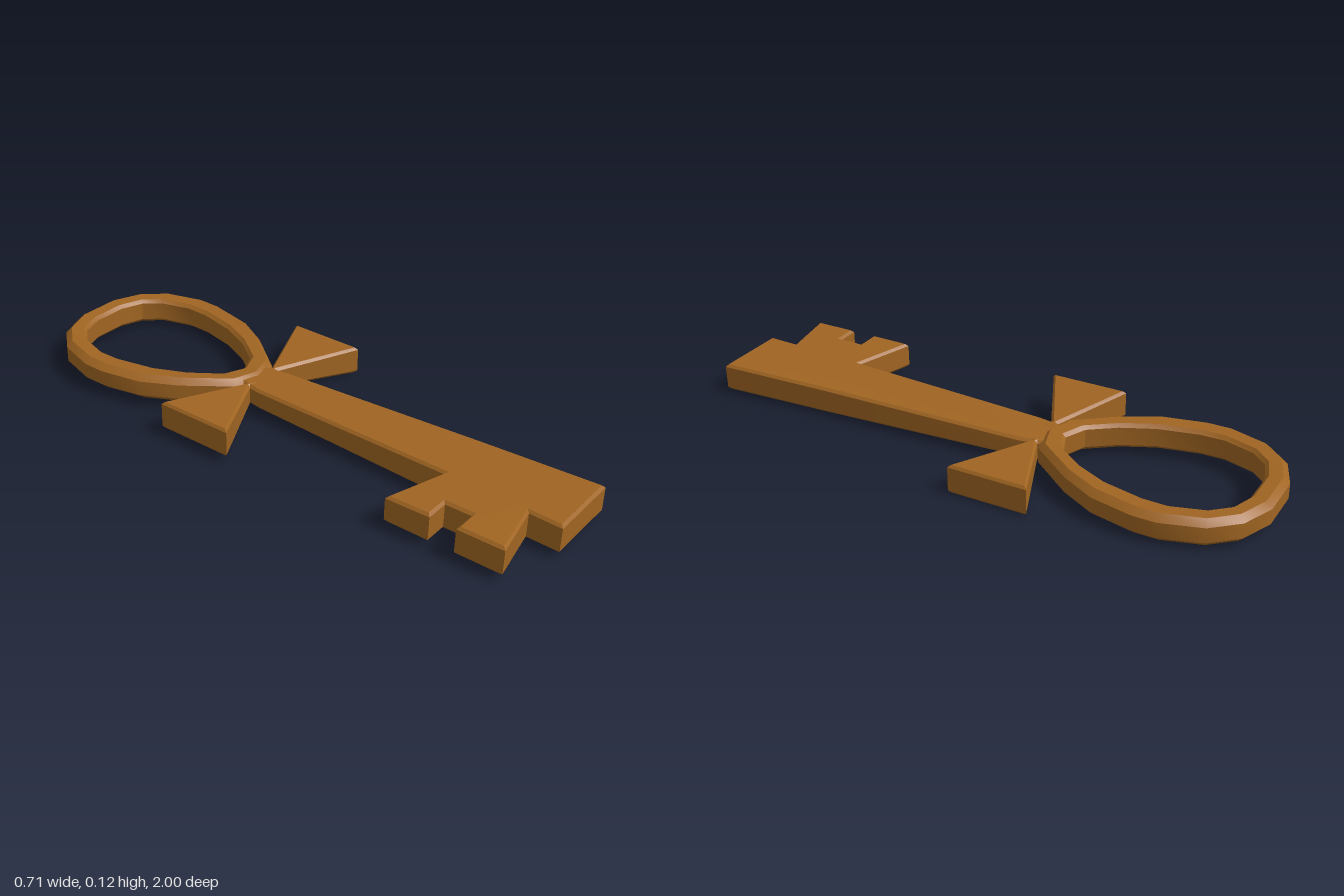
import * as THREE from 'three';
import { toCreasedNormals } from 'three/addons/utils/BufferGeometryUtils.js';

const bronze = new THREE.MeshStandardMaterial({ color: 0xa06522 });
bronze.name = 'bronze';

// Bevelled slab from an outline of [x, z]; half(x, z) gives its half thickness.
function slab(name, outline, half) {
  const shape = new THREE.Shape(outline.map(([x, z]) => new THREE.Vector2(x, z)));
  const bevel = 0.009;
  const geo = new THREE.ExtrudeGeometry(shape, {
    depth: 0.1 - 2 * bevel, bevelEnabled: true, bevelSegments: 1,
    bevelSize: bevel, bevelThickness: bevel, bevelOffset: -bevel,
  });
  geo.translate(0, 0, bevel - 0.05);
  geo.rotateX(Math.PI / 2);
  const p = geo.attributes.position;
  for (let i = 0; i < p.count; i++) {
    const y = p.getY(i);
    p.setY(i, y + Math.sign(y) * (half(p.getX(i), p.getZ(i)) - 0.05));
  }
  const mesh = new THREE.Mesh(toCreasedNormals(geo, 0.5), bronze);
  mesh.name = name;
  return mesh;
}

// Looped handle: a chamfered profile lofted between an outer and an inner outline.
function bow() {
  const side = [ // outer x, outer z, inner x, inner z, from the far end to the neck
    [0.08, -1, 0.06, -0.927], [0.19, -0.955, 0.14, -0.9],
    [0.265, -0.87, 0.19, -0.845], [0.306, -0.735, 0.222, -0.74],
    [0.306, -0.655, 0.22, -0.655], [0.275, -0.51, 0.19, -0.52],
    [0.21, -0.39, 0.14, -0.41], [0.09, -0.235, 0.075, -0.32],
  ];
  const ring = [
    ...side, [0, -0.21, 0, -0.287],
    ...side.slice().reverse().map(([a, b, c, d]) => [-a, b, -c, d]),
  ];
  const profile = [
    [0.72, 0.046], [1, 0.026], [1, -0.026], [0.72, -0.046],
    [0.15, -0.044], [0, -0.032], [0, 0.032], [0.15, 0.044],
  ];
  const n = ring.length, m = profile.length;
  const pos = [], idx = [];
  ring.forEach(([ox, oz, ix, iz], i) => profile.forEach(([t, y], j) => {
    pos.push(ix + (ox - ix) * t, y, iz + (oz - iz) * t);
    const i2 = (i + 1) % n, j2 = (j + 1) % m;
    const a = i * m + j, b = i2 * m + j, c = i * m + j2, d = i2 * m + j2;
    idx.push(a, b, c, b, d, c);
  }));
  const geo = new THREE.BufferGeometry();
  geo.setAttribute('position', new THREE.Float32BufferAttribute(pos, 3));
  geo.setIndex(idx);
  const mesh = new THREE.Mesh(toCreasedNormals(geo, 0.5), bronze);
  mesh.name = 'bow';
  return mesh;
}

export function createModel() {
  const key = new THREE.Group();
  key.name = 'key';

  // Flared shaft with the two-toothed bit on its right
  key.add(slab('shaftAndBit', [
    [0.065, -0.25], [0.08, -0.16], [0.115, 0.59], [0.135, 1],
    [-0.13, 1], [-0.125, 0.888],
    [-0.322, 0.925], [-0.322, 0.766], [-0.24, 0.766],
    [-0.24, 0.677], [-0.322, 0.677], [-0.322, 0.523],
    [-0.108, 0.59], [-0.08, -0.16], [-0.065, -0.25],
  ], (x, z) => 0.036 + 0.013 * THREE.MathUtils.clamp((z + 0.1) / 0.8, 0, 1)));

  // Flared cross arms, thinner toward the shaft
  for (const [name, s] of [['leftArm', 1], ['rightArm', -1]]) {
    key.add(slab(name, [
      [0.03 * s, -0.245], [0.07 * s, -0.222], [0.352 * s, -0.336],
      [0.352 * s, -0.06], [0.07 * s, -0.198], [0.03 * s, -0.18],
    ], (x) => 0.036 + 0.014 * THREE.MathUtils.clamp((Math.abs(x) - 0.05) / 0.29, 0, 1)));
  }

  key.add(bow());

  // The key lies with a slight lean
  key.rotation.z = -0.033;
  key.position.y = 0.064;
  const model = new THREE.Group();
  model.name = 'keyModel';
  model.add(key);
  return model;
}
